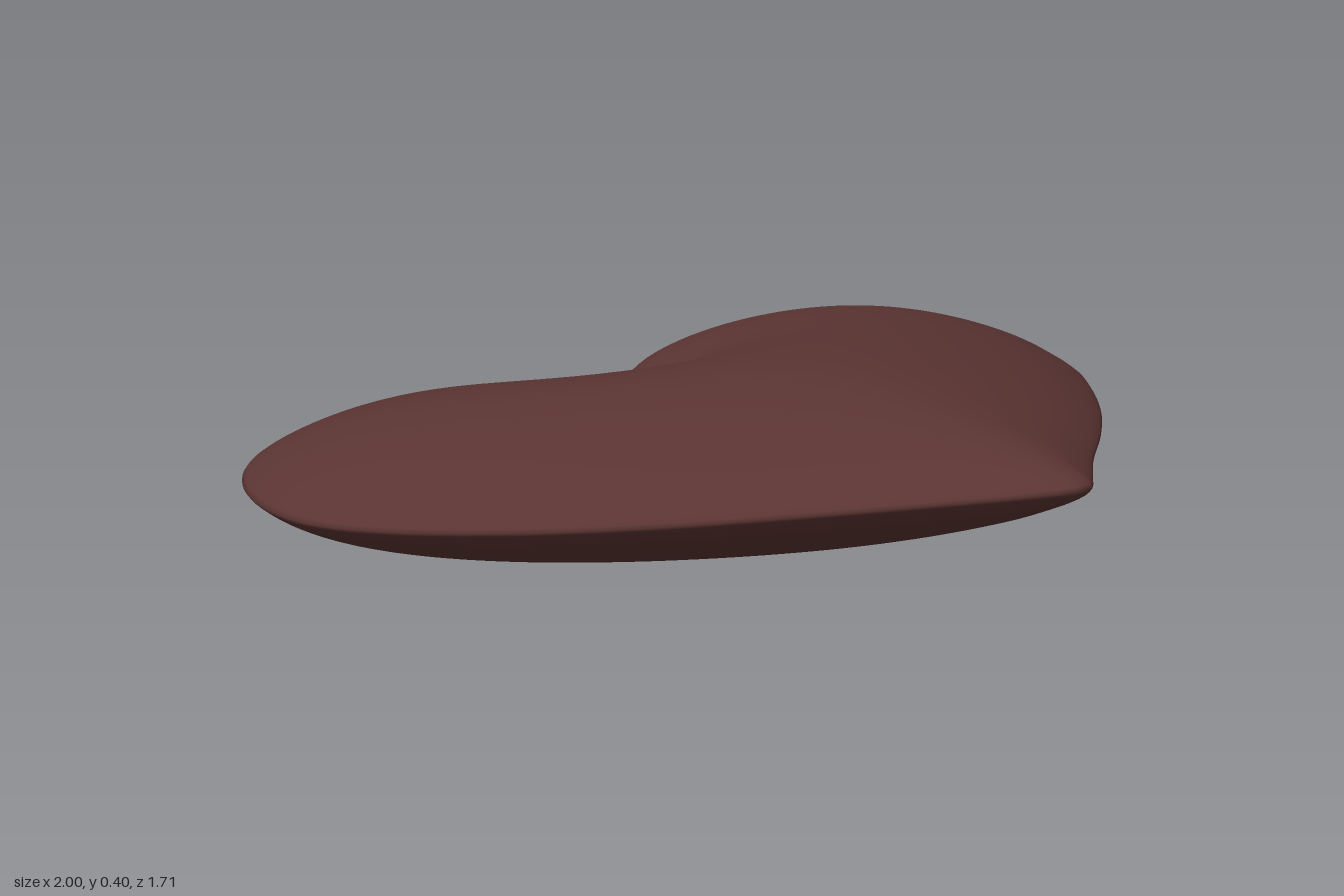
import * as THREE from 'three';

// Heart outline as (x, z) points, from the cleft around the left lobe to the tip and back
const OUTLINE = [
  [0, -0.515], [0.04, -0.502], [0.09, -0.56], [0.14, -0.63], [0.22, -0.71], [0.34, -0.78],
  [0.46, -0.805], [0.58, -0.80], [0.69, -0.765], [0.80, -0.70], [0.90, -0.605], [0.96, -0.51],
  [0.997, -0.38], [0.997, -0.24], [0.97, -0.11], [0.91, 0], [0.83, 0.12], [0.72, 0.24],
  [0.55, 0.40], [0.36, 0.55], [0.16, 0.69], [0.02, 0.80], [-0.05, 0.848], [-0.12, 0.80],
  [-0.28, 0.64], [-0.46, 0.46], [-0.62, 0.30], [-0.76, 0.14], [-0.86, 0], [-0.94, -0.14],
  [-0.99, -0.28], [-0.996, -0.40], [-0.95, -0.57], [-0.87, -0.70], [-0.78, -0.785],
  [-0.67, -0.835], [-0.55, -0.86], [-0.42, -0.852], [-0.31, -0.822], [-0.22, -0.77],
  [-0.15, -0.70], [-0.10, -0.625], [-0.05, -0.54],
];
const SEGMENTS = 160, RINGS = 28;
const CENTRE = { x: 0, z: -0.1 };

// Gently tilted and curved middle surface of the cushion
const middle = (x, z) => 0.211 + 0.085 * z + 0.04 * z * z - 0.012 * x;

function heartGeometry() {
  const curve = new THREE.CatmullRomCurve3(
    OUTLINE.map(([x, z]) => new THREE.Vector3(x, 0, z)), true, 'centripetal');
  const rim = curve.getSpacedPoints(SEGMENTS).slice(0, SEGMENTS);
  const fine = curve.getSpacedPoints(900).slice(0, 900);
  const step = curve.getLength() / 900;

  // Smooth distance to the whole outline, which inflates the heart without ridges
  const inset = (x, z) => {
    let sum = 0;
    for (const p of fine) sum += step / Math.pow((p.x - x) ** 2 + (p.z - z) ** 2 + 1e-7, 1.5);
    return Math.sqrt(2 / sum);
  };

  // Grid of rings from the rim (ring 0) inward; the last ring closes on the centre
  const spots = [];
  for (let r = 0; r < RINGS; r++) {
    const t = 1 - Math.pow(r / RINGS, 1.5);
    for (const p of rim) {
      const x = CENTRE.x + (p.x - CENTRE.x) * t, z = CENTRE.z + (p.z - CENTRE.z) * t;
      spots.push({ x, z, d: r ? inset(x, z) : 0 });
    }
  }
  spots.push({ ...CENTRE, d: inset(CENTRE.x, CENTRE.z) });
  const deepest = Math.max(...spots.map((s) => s.d));

  // Upper skin, then lower skin, sharing the rim
  const positions = [], index = [], count = spots.length;
  for (const side of [1, -1]) {
    for (const { x, z, d } of spots) {
      positions.push(x, middle(x, z) + side * 0.195 * Math.pow(d / deepest, 0.75), z);
    }
  }
  for (const lower of [false, true]) {
    const at = (r, i) => {
      const k = r === RINGS ? count - 1 : r * SEGMENTS + (i % SEGMENTS);
      return lower && r > 0 ? k + count : k;
    };
    const face = (a, b, c) => (lower ? index.push(a, b, c) : index.push(a, c, b));
    for (let r = 0; r < RINGS; r++) {
      for (let i = 0; i < SEGMENTS; i++) {
        face(at(r, i), at(r, i + 1), at(r + 1, i));
        if (r < RINGS - 1) face(at(r, i + 1), at(r + 1, i + 1), at(r + 1, i));
      }
    }
  }
  const geometry = new THREE.BufferGeometry();
  geometry.setAttribute('position', new THREE.Float32BufferAttribute(positions, 3));
  geometry.setIndex(index);
  geometry.computeVertexNormals();
  return geometry;
}

export function createModel() {
  const chocolate = new THREE.MeshStandardMaterial({ color: 0x5a3432 });
  chocolate.name = 'chocolate brown';
  const heart = new THREE.Mesh(heartGeometry(), chocolate);
  heart.name = 'heart';
  const model = new THREE.Group();
  model.name = 'heartCushion';
  model.add(heart);
  return model;
}
